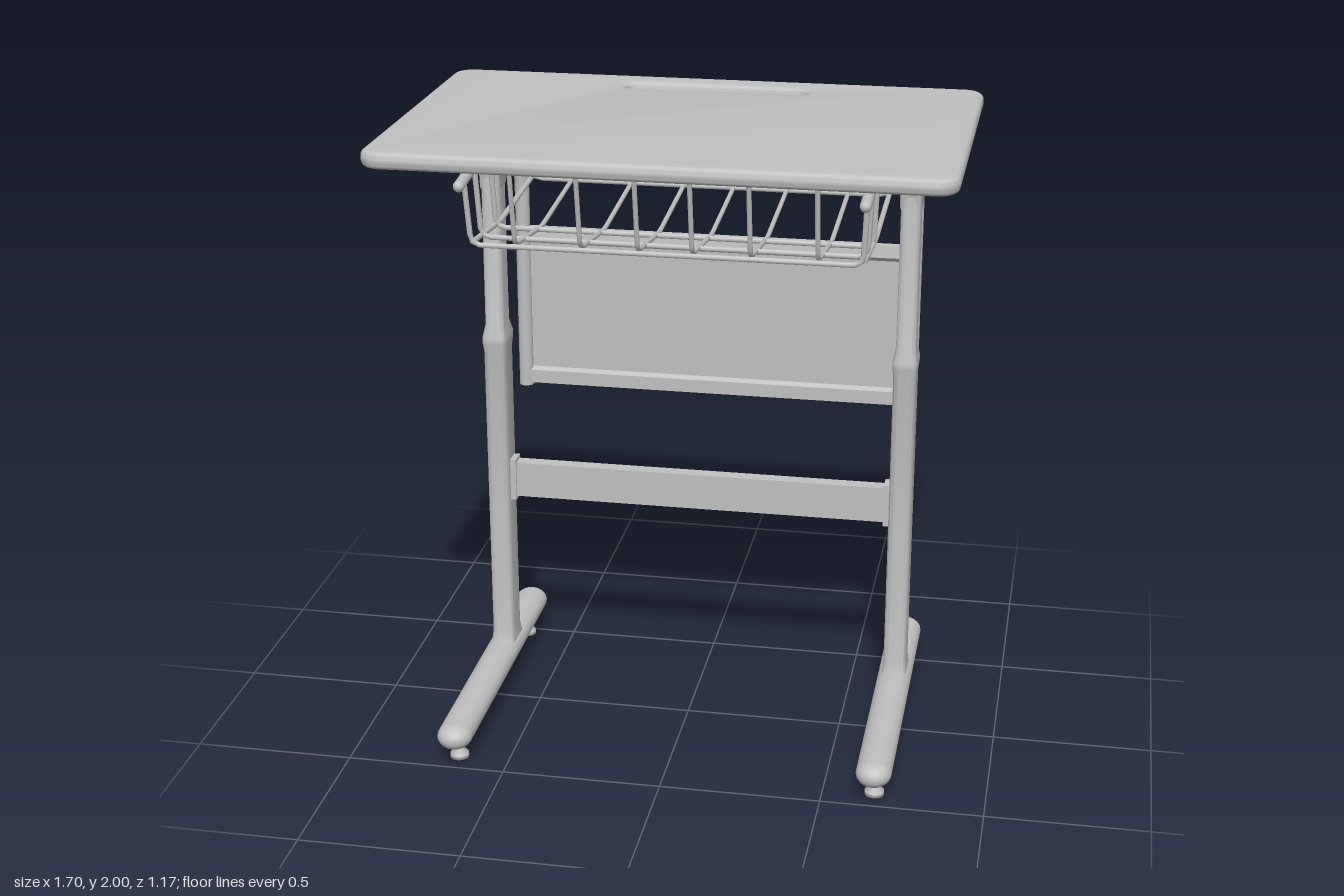
import * as THREE from 'three';
import { toCreasedNormals } from 'three/addons/utils/BufferGeometryUtils.js';

const grey = new THREE.MeshStandardMaterial({ color: 0xc0c0c0 });
grey.name = 'grey';
const V = (x, y, z) => new THREE.Vector3(x, y, z);

function add(parent, name, geometry, x = 0, y = 0, z = 0) {
  const mesh = new THREE.Mesh(geometry, grey);
  mesh.name = name;
  mesh.position.set(x, y, z);
  parent.add(mesh);
  return mesh;
}

// Rounded rectangle outline, counter-clockwise
function roundRect(path, x0, y0, x1, y1, r) {
  path.absarc(x1 - r, y0 + r, r, -Math.PI / 2, 0);
  path.absarc(x1 - r, y1 - r, r, 0, Math.PI / 2);
  path.absarc(x0 + r, y1 - r, r, Math.PI / 2, Math.PI);
  path.absarc(x0 + r, y0 + r, r, Math.PI, Math.PI * 1.5);
  path.closePath();
  return path;
}

// Extrude a (z, y) side profile along x, centred on x = 0
function sideExtrude(points, width, bevel = 0) {
  const shape = new THREE.Shape(points.map(([z, y]) => new THREE.Vector2(z, y)));
  const g = new THREE.ExtrudeGeometry(shape, {
    depth: width - 2 * bevel, bevelEnabled: bevel > 0, bevelThickness: bevel,
    bevelSize: bevel, bevelOffset: -bevel, bevelSegments: 3,
  });
  g.translate(0, 0, -(width - 2 * bevel) / 2);
  g.rotateY(-Math.PI / 2);
  return toCreasedNormals(g, 0.6);
}

// Upright loft through rounded rectangles [y, width, depth]
function loft(sections, r) {
  const pos = [], idx = [];
  let n = 0;
  for (const [y, w, d] of sections) {
    const ring = roundRect(new THREE.Path(), -w / 2, -d / 2, w / 2, d / 2, r).getPoints(5);
    n = ring.length;
    ring.forEach(p => pos.push(p.x, y, -p.y));
  }
  for (let s = 0; s < sections.length - 1; s++) {
    for (let i = 0; i < n; i++) {
      const a = s * n + i, b = s * n + (i + 1) % n;
      idx.push(a, b, b + n, a, b + n, a + n);
    }
  }
  const g = new THREE.BufferGeometry();
  g.setAttribute('position', new THREE.Float32BufferAttribute(pos, 3));
  g.setIndex(idx);
  return toCreasedNormals(g, 0.6);
}

// Wire or tube with rounded corners through the given points
function tube(points, radius, bend = 0.03, sides = 8) {
  const path = new THREE.CurvePath();
  let last = points[0];
  for (let i = 1; i < points.length - 1; i++) {
    const p = points[i];
    const cut = q => p.clone().lerp(q, Math.min(0.45, bend / p.distanceTo(q)));
    const a = cut(points[i - 1]), b = cut(points[i + 1]);
    path.add(new THREE.LineCurve3(last, a));
    path.add(new THREE.QuadraticBezierCurve3(a, p, b));
    last = b;
  }
  path.add(new THREE.LineCurve3(last, points[points.length - 1]));
  return new THREE.TubeGeometry(path, 64, radius, sides);
}

export function createModel() {
  const desk = new THREE.Group();
  desk.name = 'desk';

  // Tabletop with rounded edge and pencil slot
  const top = roundRect(new THREE.Shape(), -0.85, -0.585, 0.85, 0.51, 0.065);
  top.holes.push(roundRect(new THREE.Path(), -0.265, 0.33, 0.31, 0.408, 0.038));
  const topGeo = new THREE.ExtrudeGeometry(top, {
    depth: 0.012, bevelThickness: 0.019, bevelSize: 0.019, bevelOffset: -0.019,
    bevelSegments: 4, curveSegments: 8,
  });
  topGeo.rotateX(-Math.PI / 2);
  add(desk, 'tabletop', toCreasedNormals(topGeo, 0.6), 0, 1.969, 0);

  for (const s of [1, -1]) {
    const side = new THREE.Group();
    side.name = s > 0 ? 'leftSide' : 'rightSide';
    desk.add(side);
    const x = s * 0.66;

    // Telescopic leg with flared base and collar
    add(side, 'leg', loft([
      [0.1, 0.085, 0.15], [0.135, 0.078, 0.13], [0.165, 0.072, 0.116], [1.16, 0.072, 0.116],
      [1.19, 0.078, 0.13], [1.21, 0.078, 0.13], [1.25, 0.062, 0.1], [1.94, 0.06, 0.094],
    ], 0.022), x, 0, -0.192);

    // Floor runner and levelling feet
    const runner = new THREE.CapsuleGeometry(0.055, 1.0, 8, 20);
    runner.rotateX(Math.PI / 2);
    runner.scale(1, 0.76, 1);
    add(side, 'runner', runner, x, 0.098, -0.03);
    const foot = [[0, 0], [0.03, 0], [0.03, 0.014], [0.012, 0.032], [0.01, 0.07]];
    for (const z of [0.425, -0.465]) {
      add(side, 'levellingFoot', new THREE.LatheGeometry(
        foot.map(p => new THREE.Vector2(...p)), 16), x, 0, z);
    }

    // Gusset and mounting plate beneath the top
    add(side, 'gusset', sideExtrude([
      [-0.26, 1.945], [-0.24, 1.9], [-0.235, 1.7], [-0.15, 1.7], [-0.14, 1.77],
      [-0.08, 1.795], [-0.02, 1.85], [0.03, 1.9], [0.05, 1.945],
    ], 0.066, 0.008), x, 0, 0);
    add(side, 'mountingPlate', new THREE.BoxGeometry(0.14, 0.03, 0.4), s * 0.68, 1.936, -0.09);

    // Bent arm carrying the front screen
    const xa = s * 0.65;
    const arm = tube([V(xa, 1.795, -0.2), V(xa, 1.795, -0.515), V(xa, 0.92, -0.515)], 0.024, 0.2, 14);
    add(side, 'screenArm', arm);
    const cap = new THREE.CircleGeometry(0.024, 14);
    cap.rotateX(Math.PI / 2);
    add(side, 'armEnd', cap, xa, 0.92, -0.515);

    // Basket side arm
    const xb = s * 0.585;
    add(side, 'basketArm', tube([V(s * 0.64, 1.925, -0.05), V(xb, 1.925, 0.08), V(xb, 1.88, 0.46)], 0.017, 0.05, 10));
    const tip = new THREE.SphereGeometry(0.017, 10, 8);
    add(side, 'basketArmTip', tip, xb, 1.88, 0.46);
  }

  // Crossbar with flared ends
  add(desk, 'crossbar', new THREE.BoxGeometry(1.26, 0.118, 0.045), 0, 0.711, -0.192);
  for (const s of [1, -1]) {
    add(desk, 'crossbarEnd', new THREE.BoxGeometry(0.03, 0.14, 0.06), s * 0.62, 0.711, -0.192);
  }

  // Screen panel with folded top and bottom lips
  add(desk, 'screenPanel', sideExtrude([
    [-0.532, 0.93], [-0.5, 0.93], [-0.5, 0.975], [-0.516, 0.985], [-0.516, 1.42],
    [-0.5, 1.435], [-0.506, 1.475], [-0.532, 1.475],
  ], 1.27));

  // Rail and notched plate between the legs
  add(desk, 'rearRail', new THREE.BoxGeometry(1.42, 0.03, 0.05), 0, 1.936, -0.28);
  const plate = new THREE.Shape([
    [-0.57, 1.76], [0.29, 1.76], [0.3, 1.84], [0.34, 1.86], [0.38, 1.84], [0.385, 1.76],
    [0.57, 1.76], [0.57, 1.945], [-0.57, 1.945],
  ].map(p => new THREE.Vector2(...p)));
  add(desk, 'backPlate', new THREE.ExtrudeGeometry(plate, { depth: 0.014, bevelEnabled: false }), 0, 0, -0.24);

  // Wire basket: lengthwise wires
  const basket = new THREE.Group();
  basket.name = 'wireBasket';
  desk.add(basket);
  for (const x of [-0.445, -0.25, -0.08, 0.08, 0.25, 0.445]) {
    add(basket, 'lengthWire', tube([
      V(x, 1.95, 0.43), V(x, 1.69, 0.38), V(x, 1.65, 0.05), V(x, 1.685, -0.37), V(x, 1.95, -0.425),
    ], 0.0075));
  }
  // Crosswise wires hung from the side arms
  for (const [z, y, yTop] of [[0.385, 1.685, 1.885], [0.27, 1.675, 1.9], [0.1, 1.655, 1.92], [-0.36, 1.685, 1.945]]) {
    add(basket, 'crossWire', tube([
      V(-0.585, yTop, z + 0.02), V(-0.575, y, z), V(0.575, y, z), V(0.585, yTop, z + 0.02),
    ], 0.0085));
  }
  // Side wires along the basket floor
  for (const s of [1, -1]) {
    add(basket, 'sideWire', tube([
      V(s * 0.575, 1.69, 0.385), V(s * 0.575, 1.66, 0.05), V(s * 0.575, 1.69, -0.36),
    ], 0.0085));
  }
  return desk;
}
